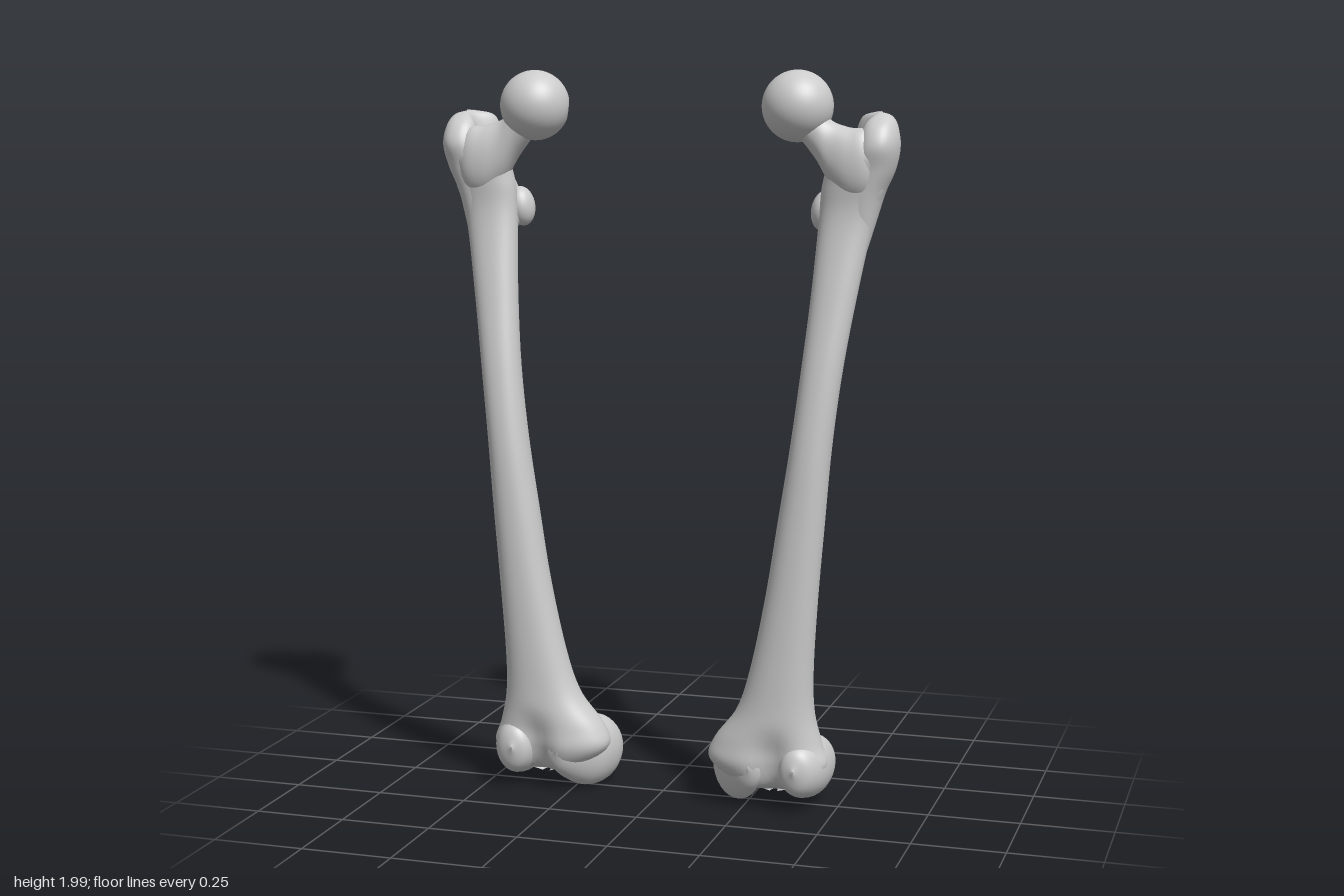
import * as THREE from 'three';

const material = new THREE.MeshStandardMaterial({ color: 0xcccccc, roughness: 0.7 });
const bump = (v, centre, width) => Math.exp(-(((v - centre) / width) ** 2));

// Reverse every triangle, used after mirroring or for downward lofts.
function flip(geometry) {
  const idx = geometry.index.array;
  for (let i = 0; i < idx.length; i += 3) [idx[i + 1], idx[i + 2]] = [idx[i + 2], idx[i + 1]];
}

// Smooth loft along one axis. Each key is [position, uMin, uMax, vMin, vMax]:
// axis x has u = y, v = z; axis y has u = x, v = z; axis z has u = x, v = y.
function loft(axis, keys, { rings = 32, sides = 32, power = 2, warp } = {}) {
  const centre = new THREE.CatmullRomCurve3(
    keys.map(([p, a, b, c, d]) => new THREE.Vector3(p, (a + b) / 2, (c + d) / 2)), false, 'catmullrom', 0.5);
  const radius = new THREE.CatmullRomCurve3(
    keys.map(([, a, b, c, d]) => new THREE.Vector3((b - a) / 2, (d - c) / 2, 0)), false, 'catmullrom', 0.5);
  const positions = [], index = [], point = new THREE.Vector3();
  const round = (s) => Math.sign(s) * Math.abs(s) ** (2 / power);
  for (let i = 0; i <= rings; i++) {
    // Rings gather towards both ends so the caps stay round.
    const f = i / rings;
    const t = 0.5 * f + 0.25 * (1 - Math.cos(Math.PI * f));
    const c = centre.getPoint(t), r = radius.getPoint(t);
    for (let j = 0; j < sides; j++) {
      const a = (j / sides) * Math.PI * 2;
      const u = c.y + Math.max(r.x, 0) * round(Math.cos(a));
      const v = c.z + Math.max(r.y, 0) * round(Math.sin(a));
      if (axis === 'x') point.set(c.x, u, v);
      else if (axis === 'y') point.set(u, c.x, v);
      else point.set(u, v, c.x);
      if (warp) warp(point, a, r);
      positions.push(point.x, point.y, point.z);
      if (i < rings) {
        const k = i * sides, n = (j + 1) % sides;
        index.push(k + j, k + n, k + sides + j, k + n, k + sides + n, k + sides + j);
      }
    }
  }
  const geometry = new THREE.BufferGeometry();
  geometry.setAttribute('position', new THREE.Float32BufferAttribute(positions, 3));
  geometry.setIndex(index);
  if ((axis === 'y') !== (keys.at(-1)[0] < keys[0][0])) flip(geometry);
  return geometry;
}

// Bowed shaft widening to the knee, with a front groove below and a ridge behind.
function shaft() {
  return loft('y', [
    [0.05, 0.32, 0.34, 0.04, 0.06],
    [0.075, 0.23, 0.43, -0.01, 0.105],
    [0.13, 0.15, 0.478, -0.045, 0.128],
    [0.19, 0.162, 0.462, -0.045, 0.125],
    [0.28, 0.228, 0.442, -0.025, 0.122],
    [0.4, 0.268, 0.44, -0.01, 0.123],
    [0.6, 0.31, 0.452, 0.002, 0.125],
    [0.8, 0.342, 0.468, 0.004, 0.125],
    [1.0, 0.373, 0.484, 0.004, 0.12],
    [1.2, 0.397, 0.507, -0.002, 0.1],
    [1.4, 0.415, 0.537, -0.03, 0.067],
    [1.6, 0.427, 0.573, -0.065, 0.033],
    [1.7, 0.435, 0.605, -0.075, 0.036],
    [1.78, 0.465, 0.61, -0.07, 0.045],
    [1.83, 0.53, 0.55, -0.02, -0.01],
  ], {
    rings: 90, sides: 48, power: 2.2,
    warp: (p, a, r) => {
      const low = THREE.MathUtils.smoothstep(0.26 - p.y, 0, 0.14);
      const front = Math.max(Math.sin(a), 0), back = Math.max(-Math.sin(a), 0);
      p.z -= 0.035 * low * front * bump(p.x, 0.34, 0.045);
      p.z -= 0.008 * back ** 12 * bump(p.y, 0.95, 0.4);
      p.z += 0.3 * r.y * back ** 4 * low;
    },
  });
}

// Ball with a shallow pit on its inner side.
function head() {
  const geometry = new THREE.SphereGeometry(0.095, 48, 32);
  const pit = new THREE.Vector3(-0.9, -0.12, -0.35).normalize();
  const pos = geometry.attributes.position, p = new THREE.Vector3();
  for (let i = 0; i < pos.count; i++) {
    p.fromBufferAttribute(pos, i);
    p.multiplyScalar(1 - 0.12 * bump(p.angleTo(pit), 0, 0.16));
    pos.setXYZ(i, p.x, p.y, p.z);
  }
  return geometry.translate(0.368, 1.905, -0.008);
}

const neck = () => loft('x', [
  [0.33, 1.89, 1.91, -0.02, 0],
  [0.37, 1.83, 1.945, -0.055, 0.04],
  [0.42, 1.765, 1.91, -0.06, 0.04],
  [0.46, 1.7, 1.868, -0.058, 0.042],
  [0.51, 1.66, 1.85, -0.055, 0.05],
  [0.56, 1.67, 1.84, -0.045, 0.045],
  [0.6, 1.74, 1.76, -0.02, 0.01],
], { power: 2.1 });

// Outer knob whose rear edge curls inwards around a hollow.
const greaterTrochanter = () => loft('y', [
  [1.5, 0.53, 0.55, -0.02, 0],
  [1.58, 0.485, 0.572, -0.065, 0.02],
  [1.67, 0.49, 0.597, -0.105, 0.03],
  [1.74, 0.505, 0.628, -0.125, 0.037],
  [1.8, 0.525, 0.64, -0.132, 0.047],
  [1.85, 0.535, 0.634, -0.128, 0.025],
  [1.88, 0.55, 0.618, -0.11, -0.015],
  [1.892, 0.578, 0.582, -0.065, -0.055],
], {
  rings: 44, sides: 40, power: 2.3,
  warp: (p, a) => {
    const high = THREE.MathUtils.smoothstep(p.y, 1.62, 1.8);
    p.x -= high * 0.045 * THREE.MathUtils.smoothstep(-p.z, 0.03, 0.13);
    p.x += high * 0.02 * Math.max(-Math.cos(a), 0) * bump(p.z, -0.05, 0.035);
  },
});

// Ridge running from the outer knob down to the small inner one.
const trochantericCrest = () => loft('y', [
  [1.56, 0.445, 0.455, -0.05, -0.04],
  [1.6, 0.42, 0.48, -0.085, -0.02],
  [1.66, 0.43, 0.5, -0.092, -0.02],
  [1.73, 0.465, 0.54, -0.1, -0.03],
  [1.8, 0.505, 0.56, -0.115, -0.05],
  [1.84, 0.53, 0.54, -0.09, -0.08],
], { sides: 24 });

const lesserTrochanter = () =>
  new THREE.SphereGeometry(1, 28, 20).scale(0.036, 0.055, 0.042).rotateZ(-0.15).translate(0.43, 1.628, -0.066);

// Rounded knee runners, from the front of the joint round to the back.
const innerCondyle = () => loft('z', [
  [0.122, 0.272, 0.278, 0.125, 0.135],
  [0.1, 0.225, 0.31, 0.065, 0.185],
  [0.04, 0.162, 0.298, 0.016, 0.21],
  [-0.03, 0.14, 0.28, 0.006, 0.205],
  [-0.09, 0.147, 0.268, 0.02, 0.178],
  [-0.123, 0.17, 0.246, 0.052, 0.148],
  [-0.135, 0.206, 0.21, 0.098, 0.102],
], { rings: 40 });

const outerCondyle = () => loft('z', [
  [0.135, 0.4, 0.406, 0.125, 0.135],
  [0.112, 0.362, 0.45, 0.065, 0.185],
  [0.05, 0.348, 0.478, 0.038, 0.205],
  [-0.02, 0.352, 0.482, 0.03, 0.2],
  [-0.08, 0.362, 0.474, 0.042, 0.182],
  [-0.11, 0.382, 0.456, 0.07, 0.155],
  [-0.122, 0.417, 0.421, 0.112, 0.116],
], { rings: 40 });

const parts = {
  shaft, head, neck, greaterTrochanter, trochantericCrest, lesserTrochanter, innerCondyle, outerCondyle,
};

// One thigh bone; side is +1 for the left and -1 for the mirrored right.
function thighBone(name, side) {
  const bone = new THREE.Group();
  bone.name = name;
  for (const [part, build] of Object.entries(parts)) {
    const geometry = build();
    if (side < 0) {
      geometry.scale(-1, 1, 1);
      flip(geometry);
    }
    geometry.computeVertexNormals();
    const mesh = new THREE.Mesh(geometry, material);
    mesh.name = part;
    bone.add(mesh);
  }
  return bone;
}

export function createModel() {
  const model = new THREE.Group();
  model.name = 'thighBones';
  model.add(thighBone('leftThighBone', 1), thighBone('rightThighBone', -1));
  return model;
}
